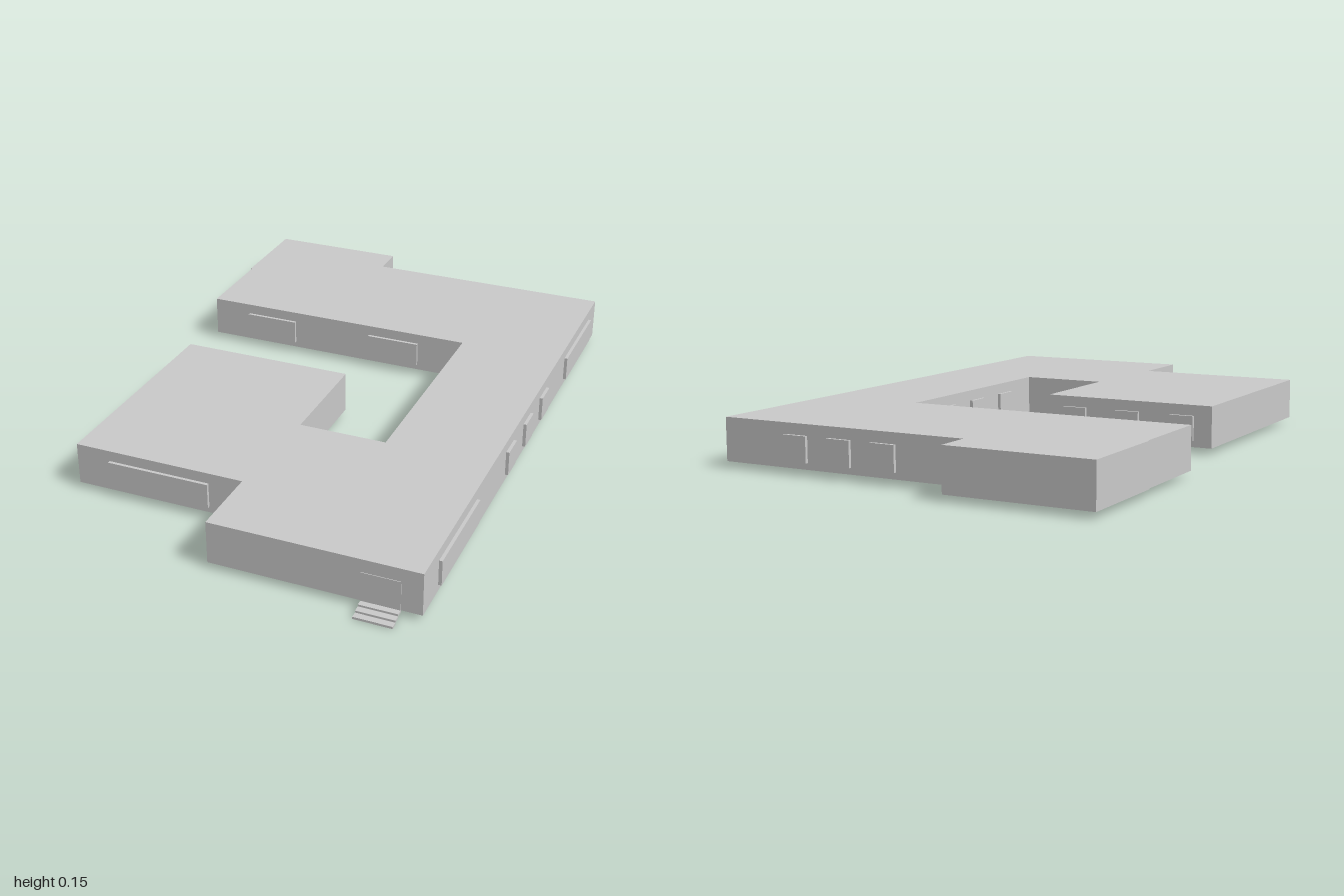
import * as THREE from 'three';

const FLOOR = 0.02, ROOF = 0.153;

export function createModel() {
  const model = new THREE.Group();
  const grey = new THREE.MeshStandardMaterial({ color: 0xcccccc, flatShading: true });

  // Box given by its minimum and maximum corners
  function box(name, [x0, y0, z0], [x1, y1, z1]) {
    const mesh = new THREE.Mesh(new THREE.BoxGeometry(x1 - x0, y1 - y0, z1 - z0), grey);
    mesh.position.set((x0 + x1) / 2, (y0 + y1) / 2, (z0 + z1) / 2);
    mesh.name = name;
    model.add(mesh);
  }

  // Building block: floor plan as (x, z), extruded upwards
  const plan = [
    [-0.645, -1], [-0.19, -1], [-0.19, -0.89], [0.632, -0.89], [0.632, 0.94],
    [-0.005, 0.94], [-0.005, 0.71], [-0.555, 0.71], [-0.555, -0.02], [0.016, -0.02],
    [0.016, 0.345], [0.296, 0.345], [0.296, -0.385], [-0.64, -0.385], [-0.64, -0.68], [-0.645, -0.68],
  ];
  const shape = new THREE.Shape(plan.map(([x, z]) => new THREE.Vector2(x, -z)));
  const block = new THREE.ExtrudeGeometry(shape, { depth: ROOF - FLOOR, bevelEnabled: false });
  block.rotateX(-Math.PI / 2).translate(0, FLOOR, 0);
  const building = new THREE.Mesh(block, grey);
  building.name = 'building';
  model.add(building);

  // Windows: wall axis, wall position, outward direction, width, centres along the wall
  const SMALL = 0.08, LARGE = 0.33;
  const windows = [
    ['z', 0.71, 1, LARGE, [-0.28]],
    ['z', -0.385, 1, 0.182, [-0.417, 0.044]],
    ['z', -0.02, -1, SMALL, [-0.455, -0.267, -0.08]],
    ['z', -0.89, -1, SMALL, [0.07, 0.222, 0.374]],
    ['x', 0.296, -1, SMALL, [-0.205, -0.02, 0.165]],
    ['x', 0.632, 1, SMALL, [-0.205, -0.02, 0.165]],
    ['x', 0.632, 1, LARGE, [-0.637, 0.655]],
  ];
  for (const [axis, wall, out, width, centres] of windows) {
    const near = Math.min(wall - out * 0.005, wall + out * 0.01);
    const far = near + 0.015;
    for (const c of centres) {
      const a = c - width / 2, b = c + width / 2;
      if (axis === 'z') box('window', [a, 0.04, near], [b, 0.119, far]);
      else box('window', [near, 0.04, a], [far, 0.119, b]);
    }
  }

  // Entrance door, almost flush with the front wall
  box('entranceDoor', [0.455, FLOOR, 0.93], [0.57, 0.112, 0.942]);

  // Entrance steps, each lower and further out
  for (let i = 0; i < 3; i++) {
    const z = 0.94 + i * 0.02, top = FLOOR - i * 0.0065;
    box('entranceStep', [0.455, top - 0.007, z], [0.57, top, z + 0.02]);
  }

  // Ends of the inner door posts, showing just below the floor
  const posts = [
    [0.4, 0.37], [0.515, 0.37], [0.4, -0.39], [0.515, -0.39],
    [-0.005, 0.48], [-0.005, 0.59], [-0.2, -0.575], [-0.2, -0.69],
  ];
  for (const [x, z] of posts) {
    box('doorPost', [x - 0.005, 0.017, z - 0.005], [x + 0.005, 0.025, z + 0.005]);
  }

  return model;
}
